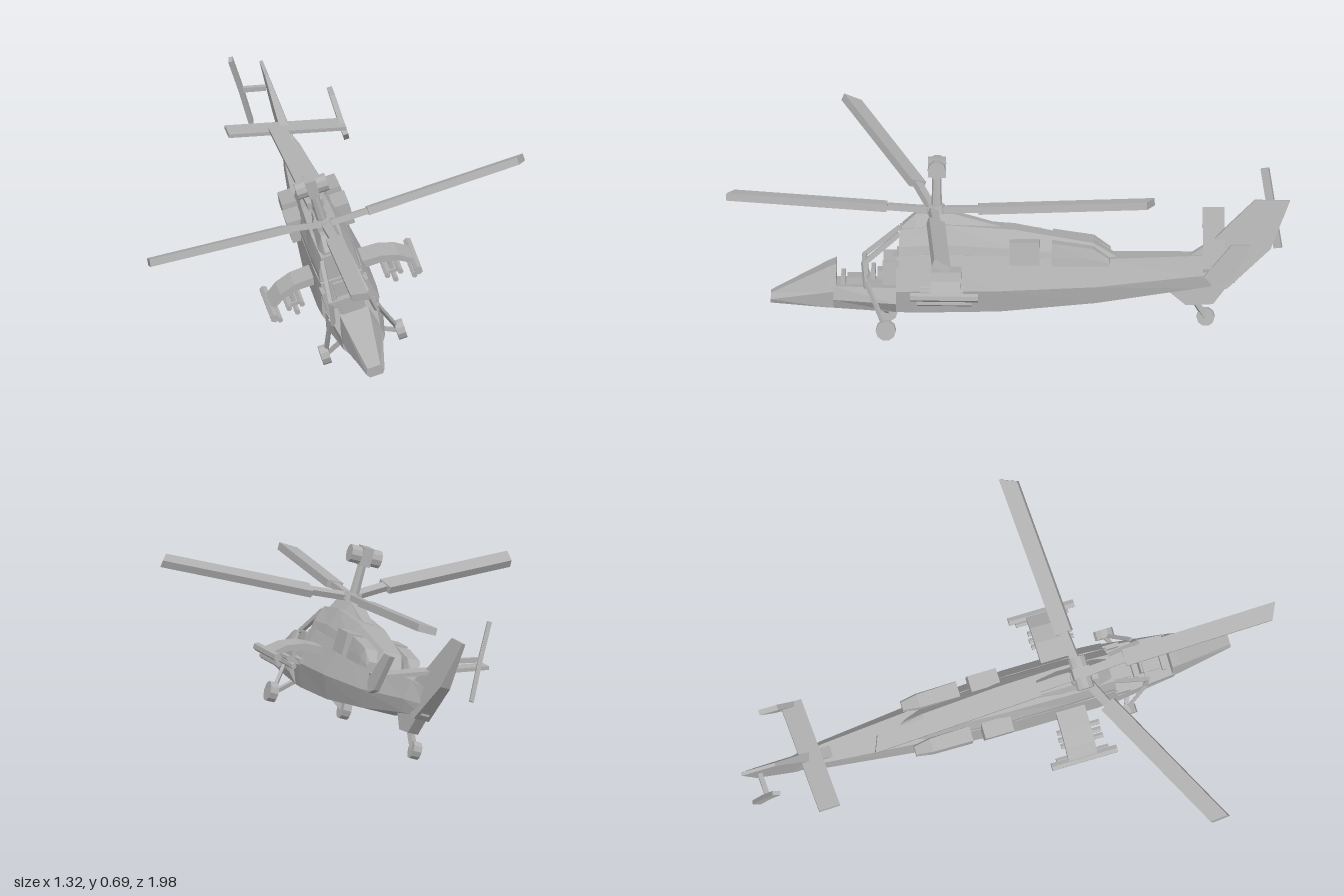
import * as THREE from 'three';

const grey = new THREE.MeshStandardMaterial({ color: 0xb0b0b0, flatShading: true });
grey.name = 'grey';
const V = (p) => new THREE.Vector3(...p);

function add(group, name, geometry) {
  const mesh = new THREE.Mesh(geometry, grey);
  mesh.name = name;
  group.add(mesh);
  return mesh;
}

// box beam from a to b, with width w and thickness t along "up"
function bar(group, name, a, b, w, t, up = [0, 1, 0]) {
  const A = V(a), B = V(b), z = B.clone().sub(A), len = z.length();
  z.normalize();
  const x = V(up).cross(z).normalize(), y = z.clone().cross(x);
  const mesh = add(group, name, new THREE.BoxGeometry(w, t, len));
  mesh.quaternion.setFromRotationMatrix(new THREE.Matrix4().makeBasis(x, y, z));
  mesh.position.copy(A.add(B).multiplyScalar(0.5));
  return mesh;
}

function box(group, name, size, pos) {
  const mesh = add(group, name, new THREE.BoxGeometry(...size));
  mesh.position.set(...pos);
  return mesh;
}

// cylinder along x or z
function tube(group, name, r, len, sides, pos, axis) {
  const g = new THREE.CylinderGeometry(r, r, len, sides);
  if (axis === 'x') g.rotateZ(Math.PI / 2); else g.rotateX(Math.PI / 2);
  const mesh = add(group, name, g);
  mesh.position.set(...pos);
  return mesh;
}

// loft of six-sided sections, rear to front: [z, bottom, top, bottomHalf, midHalf, topHalf]
function loft(group, name, rows) {
  const pos = [], idx = [], n = 6, last = (rows.length - 1) * n;
  for (const [z, lo, hi, wb, wm, wt] of rows) {
    const mid = lo + (hi - lo) * 0.4;
    for (const [x, y] of [[-wb, lo], [wb, lo], [wm, mid], [wt, hi], [-wt, hi], [-wm, mid]]) pos.push(x, y, z);
  }
  for (let r = 0; r < last; r += n)
    for (let i = 0; i < n; i++) {
      const a = r + i, b = r + (i + 1) % n;
      idx.push(a, b, b + n, a, b + n, a + n);
    }
  for (let i = 1; i < n - 1; i++) {
    idx.push(0, i + 1, i);
    idx.push(last, last + i, last + i + 1);
  }
  const g = new THREE.BufferGeometry();
  g.setAttribute('position', new THREE.Float32BufferAttribute(pos, 3));
  g.setIndex(idx);
  const flat = g.toNonIndexed();
  flat.computeVertexNormals();
  return add(group, name, flat);
}

// plate from (z, y) outline, thickness along x
function sidePlate(group, name, points, thick, x) {
  const shape = new THREE.Shape(points.map(([z, y]) => new THREE.Vector2(-z, y)));
  const g = new THREE.ExtrudeGeometry(shape, { depth: thick, bevelEnabled: false });
  g.translate(0, 0, -thick / 2).rotateY(Math.PI / 2);
  const mesh = add(group, name, g);
  mesh.position.x = x;
  return mesh;
}

function buildBody(body) {
  loft(body, 'hull', [
    [-0.86, 0.24, 0.34, 0.015, 0.022, 0.015], [-0.72, 0.222, 0.345, 0.035, 0.05, 0.035],
    [-0.35, 0.17, 0.335, 0.065, 0.09, 0.065], [0, 0.138, 0.35, 0.08, 0.115, 0.085],
    [0.3, 0.13, 0.35, 0.08, 0.115, 0.085], [0.38, 0.13, 0.34, 0.075, 0.11, 0.08]]);
  loft(body, 'cockpitTub', [[0.38, 0.13, 0.225, 0.075, 0.11, 0.095], [0.61, 0.14, 0.225, 0.06, 0.08, 0.075]]);
  loft(body, 'nose', [[0.6, 0.14, 0.305, 0.06, 0.078, 0.055], [0.63, 0.14, 0.292, 0.058, 0.075, 0.052],
    [0.84, 0.148, 0.185, 0.025, 0.035, 0.025]]);
  loft(body, 'engineDeck', [
    [-0.43, 0.32, 0.335, 0.03, 0.03, 0.02], [-0.34, 0.32, 0.39, 0.06, 0.055, 0.035],
    [-0.05, 0.33, 0.44, 0.085, 0.08, 0.05], [0.2, 0.34, 0.455, 0.085, 0.08, 0.055],
    [0.37, 0.335, 0.435, 0.08, 0.075, 0.05]]);
  loft(body, 'mastFairing', [[0, 0.42, 0.445, 0.03, 0.025, 0.02], [0.17, 0.44, 0.49, 0.05, 0.04, 0.025],
    [0.31, 0.44, 0.49, 0.05, 0.04, 0.025], [0.36, 0.42, 0.445, 0.045, 0.04, 0.03]]);

  // tail fin, thick at the root and thin at the top
  const fin = sidePlate(body, 'tailFin', [[-0.69, 0.34], [-0.78, 0.4], [-0.93, 0.55], [-1.06, 0.55], [-0.99, 0.37], [-0.83, 0.22], [-0.72, 0.24]], 0.06, 0);
  const p = fin.geometry.attributes.position;
  for (let i = 0; i < p.count; i++)
    p.setX(i, p.getX(i) * THREE.MathUtils.mapLinear(p.getY(i), 0.22, 0.55, 1, 0.2));

  // tail wheel and its fairing
  sidePlate(body, 'tailWheelFairing', [[-0.6, 0.22], [-0.68, 0.155], [-0.78, 0.16], [-0.84, 0.24]], 0.04, 0);
  bar(body, 'tailWheelStrut', [-0.01, 0.17, -0.71], [-0.03, 0.1, -0.752], 0.02, 0.02);
  tube(body, 'tailWheel', 0.033, 0.032, 10, [-0.035, 0.1, -0.752], 'x');

  // cockpit interior
  for (const [z, y] of [[0.53, 0], [0.42, 0.025]]) {
    box(body, 'seat', [0.08, 0.03, 0.06], [0, y + 0.235, z]);
    box(body, 'seatBack', [0.08, 0.08, 0.02], [0, y + 0.265, z - 0.035]);
    box(body, 'instrumentPanel', [0.1, 0.04, 0.015], [0, y + 0.24, z + 0.045]);
  }
  bar(body, 'windscreenArch', [-0.07, 0.31, 0.5], [0.07, 0.31, 0.5], 0.014, 0.014);

  for (const s of [-1, 1]) {
    // canopy frame
    bar(body, 'canopyPost', [s * 0.085, 0.22, 0.49], [s * 0.07, 0.315, 0.5], 0.014, 0.014);
    bar(body, 'canopyRail', [s * 0.07, 0.31, 0.5], [s * 0.05, 0.42, 0.37], 0.014, 0.018);
    box(body, 'sidePanel', [0.015, 0.09, 0.06], [s * 0.083, 0.28, 0.4]);

    // engine exhausts
    box(body, 'engineIntake', [0.06, 0.085, 0.11], [s * 0.09, 0.365, -0.09]);
    loft(body, 'engineExhaust', [[-0.4, 0.32, 0.345, 0.02, 0.02, 0.015], [-0.34, 0.32, 0.385, 0.03, 0.03, 0.025],
      [-0.19, 0.32, 0.405, 0.032, 0.032, 0.028]]).position.x = s * 0.085;

    // main landing gear
    tube(body, 'mainWheel', 0.037, 0.032, 10, [s * 0.146, 0.079, 0.415], 'x');
    bar(body, 'gearStrut', [s * 0.14, 0.085, 0.415], [s * 0.09, 0.245, 0.49], 0.013, 0.013);
    bar(body, 'gearArm', [s * 0.135, 0.08, 0.415], [s * 0.05, 0.14, 0.45], 0.015, 0.015);

    // drooped stub wing
    const outline = [[0.07, 0.31], [0.17, 0.305], [0.23, 0.285], [0.285, 0.245], [0.275, 0.232], [0.22, 0.265], [0.16, 0.28], [0.07, 0.28]];
    const wing = new THREE.ExtrudeGeometry(new THREE.Shape(outline.map(([x, y]) => new THREE.Vector2(s * x, y))),
      { depth: 0.11, bevelEnabled: false });
    add(body, 'stubWing', wing).position.z = 0.14;

    // pylons and stores
    box(body, 'pylon', [0.015, 0.05, 0.08], [s * 0.19, 0.255, 0.2]);
    box(body, 'launchRail', [0.06, 0.012, 0.1], [s * 0.19, 0.23, 0.2]);
    for (const [dx, y] of [[-0.025, 0.24], [0.025, 0.24], [0, 0.215]])
      tube(body, 'missile', 0.011, 0.16, 6, [s * 0.19 + dx, y, 0.21], 'z');
    tube(body, 'wingtipPod', 0.016, 0.25, 6, [s * 0.278, 0.237, 0.2], 'z');
    tube(body, 'wingtipPodLower', 0.011, 0.2, 6, [s * 0.26, 0.212, 0.2], 'z');
  }

  // swept fin on the stabilizer tip
  sidePlate(body, 'stabilizerEndFin', [[-0.75, 0.31], [-0.85, 0.43], [-0.92, 0.43], [-0.85, 0.29], [-0.79, 0.27]], 0.02, 0.205);

  // mast and mast-mounted sight
  const mast = add(body, 'rotorMast', new THREE.CylinderGeometry(0.016, 0.02, 0.17, 8));
  mast.position.set(0, 0.57, 0.235);
  const hub = add(body, 'rotorHub', new THREE.CylinderGeometry(0.035, 0.04, 0.03, 8));
  hub.position.set(0, 0.505, 0.24);
  tube(body, 'mastSight', 0.033, 0.12, 10, [0, 0.66, 0.235], 'x');
  box(body, 'sightCollar', [0.04, 0.07, 0.066], [0, 0.66, 0.235]);
}

export function createModel() {
  const model = new THREE.Group();
  model.name = 'helicopter';

  // banked and yawed airframe
  const body = new THREE.Group();
  body.name = 'airframe';
  body.rotation.set(0, 0.26, 0.279, 'YXZ');
  body.position.set(0.014, 0.006, -0.005);
  model.add(body);
  buildBody(body);

  // main rotor: hub, root joint, tip and leaning normal of each blade
  const hub = [-0.05, 0.49, 0.27];
  const blades = [
    [[0.1, 0.525, 0.215], [0.662, 0.677, 0.03], [-0.27, 0.96, -0.3]],
    [[-0.18, 0.51, 0.365], [-0.665, 0.54, 0.765], [-0.2, 0.96, -0.35]],
    [[0, 0.505, 0.43], [0.15, 0.545, 1], [-0.27, 0.96, 0]],
    [[-0.1, 0.49, 0.11], [-0.3, 0.5, -0.505], [-0.27, 0.96, 0]]];
  for (const [root, tip, up] of blades) {
    bar(model, 'bladeRoot', hub, root, 0.032, 0.022, up);
    const blade = bar(model, 'rotorBlade', root, tip, 0.062, 0.028, up);
    // cut the trailing corner at the tip
    const p = blade.geometry.attributes.position;
    for (let i = 0; i < p.count; i++)
      if (p.getZ(i) > 0 && p.getX(i) < 0) p.setZ(i, p.getZ(i) - 0.03);
  }

  // horizontal stabilizer
  bar(model, 'stabilizer', [-0.5, 0.395, -0.67], [-0.08, 0.385, -0.795], 0.08, 0.014);

  // tail rotor on the right of the fin
  bar(model, 'tailRotorShaft', [-0.38, 0.46, -0.92], [-0.47, 0.46, -0.895], 0.018, 0.018);
  bar(model, 'tailRotorBlade', [-0.505, 0.595, -0.865], [-0.468, 0.455, -0.9], 0.016, 0.03, [0, 0, 1]);
  bar(model, 'tailRotorBlade', [-0.468, 0.455, -0.9], [-0.435, 0.31, -0.935], 0.016, 0.03, [0, 0, 1]);
  return model;
}
